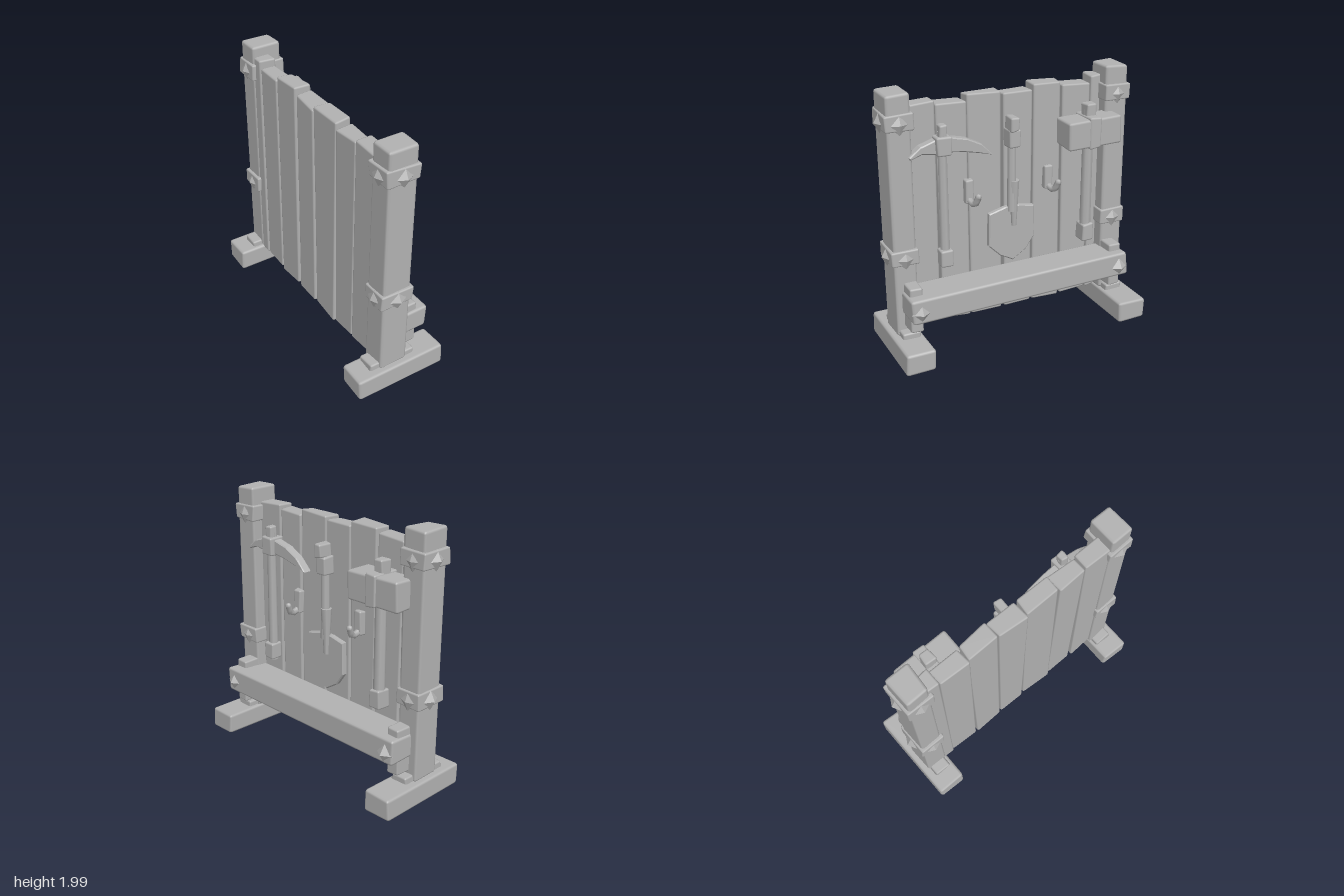
import * as THREE from 'three';
import { RoundedBoxGeometry } from 'three/addons/geometries/RoundedBoxGeometry.js';

export function createModel() {
  const root = new THREE.Group();
  root.name = 'toolRack';
  const grey = new THREE.MeshStandardMaterial({ color: 0xb2b2b2 });
  grey.name = 'plain grey';

  let seed = 7;
  const rand = () => {
    seed = (seed * 16807) % 2147483647;
    return seed / 2147483647 - 0.5;
  };
  const add = (parent, name, geometry) => {
    const mesh = new THREE.Mesh(geometry, grey);
    mesh.name = name;
    parent.add(mesh);
    return mesh;
  };
  const group = (name) => {
    const g = new THREE.Group();
    g.name = name;
    root.add(g);
    return g;
  };

  // Worn block given by its limits; each corner is nudged a little
  const block = (parent, name, x0, x1, y0, y1, z0, z1, wear = 0.01, bevel = 0.014) => {
    const w = x1 - x0, h = y1 - y0, d = z1 - z0;
    const g = new RoundedBoxGeometry(w, h, d, 1, Math.min(bevel, w / 4, h / 4, d / 4));
    const nudge = Array.from({ length: 8 }, () => [rand() * wear, rand() * wear, rand() * wear]);
    const p = g.attributes.position;
    for (let i = 0; i < p.count; i++) {
      const k = (p.getX(i) > 0 ? 1 : 0) + (p.getY(i) > 0 ? 2 : 0) + (p.getZ(i) > 0 ? 4 : 0);
      p.setXYZ(i, p.getX(i) + nudge[k][0], p.getY(i) + nudge[k][1], p.getZ(i) + nudge[k][2]);
    }
    g.translate((x0 + x1) / 2, (y0 + y1) / 2, (z0 + z1) / 2);
    return add(parent, name, g);
  };

  // Four-sided pointed stud whose tip faces along dir
  const stud = (parent, x, y, z, dir, radius = 0.075, height = 0.05) => {
    const g = new THREE.ConeGeometry(radius, height, 4).toNonIndexed();
    g.computeVertexNormals();
    g.translate(0, height / 2, 0);
    const m = add(parent, 'stud', g);
    m.quaternion.setFromUnitVectors(new THREE.Vector3(0, 1, 0), dir);
    m.position.set(x, y, z);
  };

  // Upright tapered round rod
  const rod = (parent, name, x, z, y0, y1, r0, r1, sides = 8) => {
    const g = new THREE.CylinderGeometry(r1, r0, y1 - y0, sides);
    g.translate(x, (y0 + y1) / 2, z);
    return add(parent, name, g);
  };

  // Flat outline in (z, y), extruded along x from x0 to x1
  const plate = (parent, name, points, x0, x1, bevel = 0.008) => {
    const shape = new THREE.Shape(points.map(([z, y]) => new THREE.Vector2(-z, y)));
    const g = new THREE.ExtrudeGeometry(shape, {
      depth: x1 - x0 - 2 * bevel, bevelSize: bevel, bevelThickness: bevel,
      bevelOffset: -bevel, bevelSegments: 1,
    });
    g.rotateY(Math.PI / 2);
    g.translate(x0 + bevel, 0, 0);
    return add(parent, name, g);
  };

  // Posts with feet, bands, studs and shelf brackets
  for (const s of [1, -1]) {
    const side = group(s > 0 ? 'frontPost' : 'backPost');
    const span = (a, b) => (s > 0 ? [a, b] : [-b, -a]);
    block(side, 'post', -0.18, 0.05, 0.16, 1.985, ...span(0.77, 0.95), 0.012, 0.02);
    block(side, 'foot', -0.38, s > 0 ? 0.355 : 0.38, 0.003, 0.172, ...span(0.765, 0.992), 0.012, 0.02);
    block(side, 'footPad', -0.25, 0.13, 0.15, 0.215, ...span(0.79, 0.93));
    for (const y of [0.785, 1.785]) {
      block(side, 'band', -0.197, 0.068, y - 0.06, y + 0.065, ...span(0.756, 0.965), 0.01, 0.012);
      stud(side, -0.19, y - 0.01, s * 0.86, new THREE.Vector3(-1, 0, 0), 0.075, 0.035);
      stud(side, 0.06, y - 0.01, s * 0.86, new THREE.Vector3(1, 0, 0), 0.075, 0.03);
      stud(side, -0.06, y - 0.01, s * 0.96, new THREE.Vector3(0, 0, s), 0.075, 0.04);
    }
    block(side, 'shelfBracket', 0.03, 0.17, 0.235, 0.585, ...span(0.78, 0.885));
    stud(side, 0.245, 0.425, s * 0.825, new THREE.Vector3(1, 0, 0), 0.075, 0.048);
  }

  // Plank wall: [z start, z end, bottom, top]
  const wall = group('plankWall');
  const planks = [
    [0.56, 0.785, 0.19, 1.875], [0.33, 0.553, 0.165, 1.855], [0.055, 0.318, 0.15, 1.89],
    [-0.19, 0.045, 0.148, 1.86], [-0.437, -0.205, 0.15, 1.9], [-0.68, -0.447, 0.158, 1.86],
    [-0.79, -0.693, 0.148, 1.905],
  ];
  for (const [z0, z1, y0, y1] of planks) block(wall, 'plank', -0.168, -0.038, y0, y1, z0, z1, 0.018);

  // Shelf beam
  block(root, 'shelfBeam', -0.045, 0.25, 0.35, 0.53, -0.9, 0.895, 0.018, 0.02);

  // Pickaxe
  const pick = group('pickaxe');
  rod(pick, 'handle', 0.055, 0.555, 0.66, 1.69, 0.038, 0.034);
  block(pick, 'grip', 0.01, 0.11, 0.67, 0.8, 0.51, 0.605);
  block(pick, 'handleTip', 0.02, 0.09, 1.64, 1.74, 0.525, 0.585);
  block(pick, 'headSocket', -0.02, 0.11, 1.515, 1.655, 0.5, 0.61);
  plate(pick, 'curvedHead', [
    [0.805, 1.535], [0.72, 1.6], [0.61, 1.635], [0.5, 1.64], [0.37, 1.61], [0.26, 1.555],
    [0.17, 1.46], [0.28, 1.49], [0.4, 1.518], [0.5, 1.53], [0.61, 1.53], [0.71, 1.545], [0.795, 1.515],
  ], 0.005, 0.075);

  // Shovel
  const shovel = group('shovel');
  rod(shovel, 'handle', 0.02, 0, 0.98, 1.65, 0.036, 0.032);
  rod(shovel, 'socket', 0.025, -0.015, 0.86, 1.22, 0.02, 0.042);
  block(shovel, 'collar', -0.03, 0.075, 1.48, 1.62, -0.045, 0.045);
  block(shovel, 'grip', -0.02, 0.1, 1.61, 1.715, -0.03, 0.04);
  plate(shovel, 'blade', [
    [0.185, 0.98], [0.05, 1.015], [-0.06, 1.015], [-0.185, 0.99], [-0.19, 0.74],
    [-0.12, 0.64], [-0.01, 0.57], [0.1, 0.63], [0.19, 0.72],
  ], -0.02, 0.025);

  // Sledgehammer
  const hammer = group('hammer');
  rod(hammer, 'handle', 0.075, -0.605, 0.68, 1.7, 0.044, 0.04);
  block(hammer, 'grip', 0.02, 0.13, 0.65, 0.79, -0.655, -0.555);
  block(hammer, 'handleTip', 0.03, 0.12, 1.6, 1.74, -0.65, -0.565);
  block(hammer, 'head', -0.025, 0.182, 1.43, 1.64, -0.84, -0.385, 0.014, 0.018);
  block(hammer, 'headCollar', -0.035, 0.195, 1.42, 1.655, -0.65, -0.56);

  // Wall hooks: plate with an upturned peg
  for (const z of [0.33, -0.32]) {
    const hook = group('wallHook');
    block(hook, 'hookPlate', -0.045, 0.01, 1.09, 1.275, z - 0.035, z + 0.035);
    const curve = new THREE.CatmullRomCurve3([
      new THREE.Vector3(-0.04, 1.14, z), new THREE.Vector3(0.03, 1.105, z),
      new THREE.Vector3(0.075, 1.11, z - 0.01), new THREE.Vector3(0.11, 1.175, z - 0.02),
    ]);
    add(hook, 'peg', new THREE.TubeGeometry(curve, 6, 0.024, 6));
    const tip = add(hook, 'pegTip', new THREE.SphereGeometry(0.024, 6, 4));
    tip.position.set(0.11, 1.175, z - 0.02);
  }

  return root;
}
